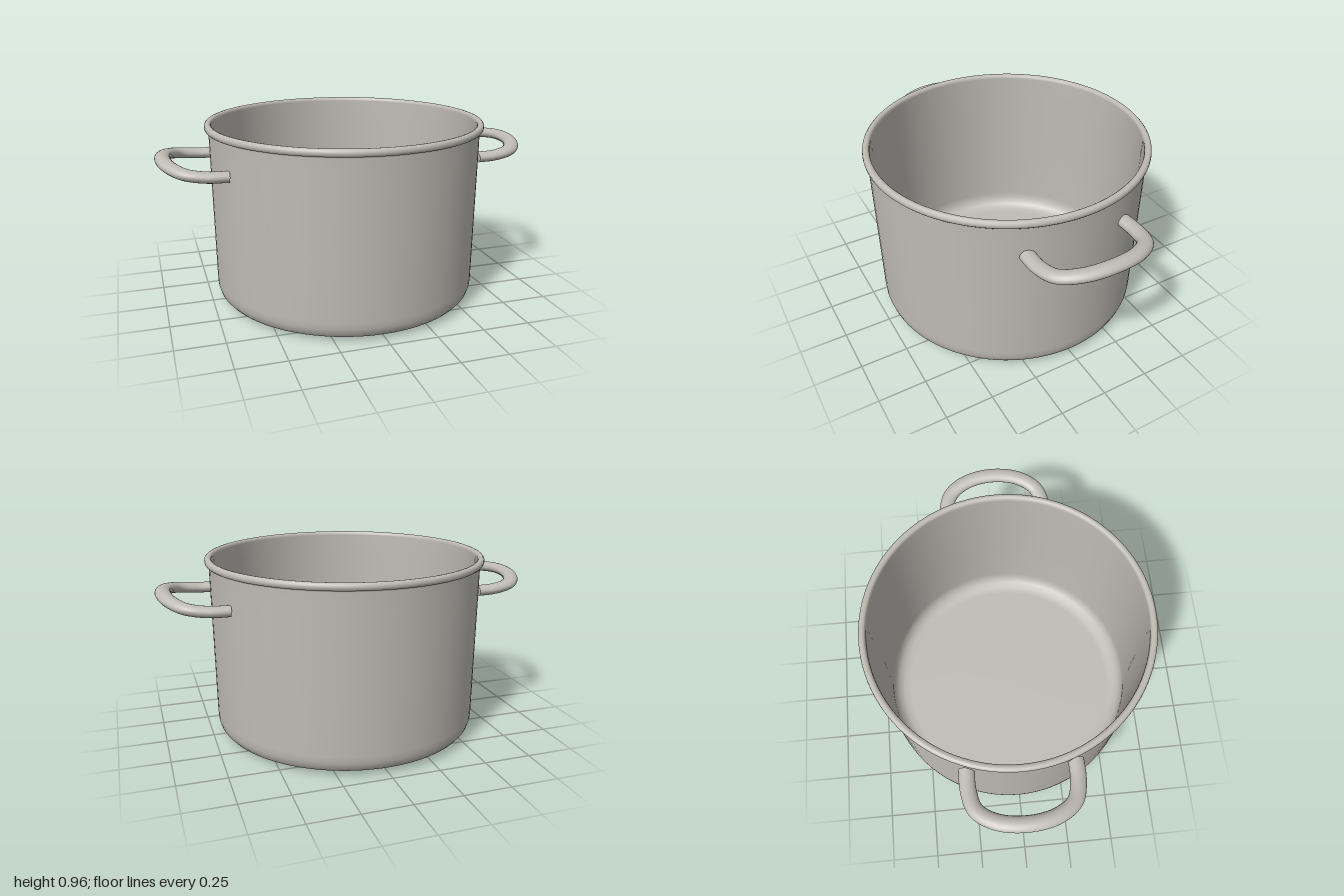
import * as THREE from 'three';

export function createModel() {
  const group = new THREE.Group();
  const steel = new THREE.MeshStandardMaterial({ color: 0xbfbbb5 });
  steel.name = 'steel';

  const add = (name, geometry, parent) => {
    const mesh = new THREE.Mesh(geometry, steel);
    mesh.name = name;
    parent.add(mesh);
    return mesh;
  };

  // Pot: outside from the base up, over the rolled rim, then down the inside
  const profile = [
    [0, 0], [0.55, 0.002], [0.61, 0.004], [0.66, 0.012], [0.685, 0.025], [0.702, 0.045],
    [0.711, 0.075], [0.713, 0.11], [0.715, 0.4], [0.719, 0.85], [0.719, 0.92], [0.721, 0.926],
    [0.732, 0.928], [0.738, 0.935], [0.74, 0.945], [0.738, 0.956], [0.731, 0.963], [0.722, 0.965],
    [0.712, 0.963], [0.705, 0.957], [0.703, 0.945], [0.703, 0.85], [0.699, 0.4], [0.697, 0.11],
    [0.69, 0.07], [0.67, 0.04], [0.64, 0.025], [0.6, 0.02], [0, 0.018],
  ].map(([r, y]) => new THREE.Vector2(r, y));
  add('pot', new THREE.LatheGeometry(profile, 96), group);

  // Handles: loops of flattened rod rising away from the wall
  const radius = 0.04, flatten = 0.7;
  const half = [[0.665, 0.764, 0.268], [0.77, 0.768, 0.267], [0.87, 0.782, 0.238], [0.935, 0.8, 0.145]];
  const points = [
    ...half,
    [0.959, 0.809, 0],
    ...half.map(([x, y, z]) => [x, y, -z]).reverse(),
  ].map(([x, y, z]) => new THREE.Vector3(x, y / flatten, z));
  const rod = new THREE.TubeGeometry(new THREE.CatmullRomCurve3(points), 72, radius, 20);
  rod.scale(1, flatten, 1);
  const cap = new THREE.CircleGeometry(radius, 20);
  cap.rotateY(-Math.PI / 2).scale(1, flatten, 1);

  for (const [name, turn] of [['leftHandle', 0], ['rightHandle', Math.PI]]) {
    const handle = new THREE.Group();
    handle.name = name;
    handle.rotation.y = turn;
    add('handleRod', rod, handle);
    for (const side of [1, -1]) {
      const [x, y, z] = half[0];
      add('handleEnd', cap, handle).position.set(x, y, z * side);
    }
    group.add(handle);
  }
  return group;
}
